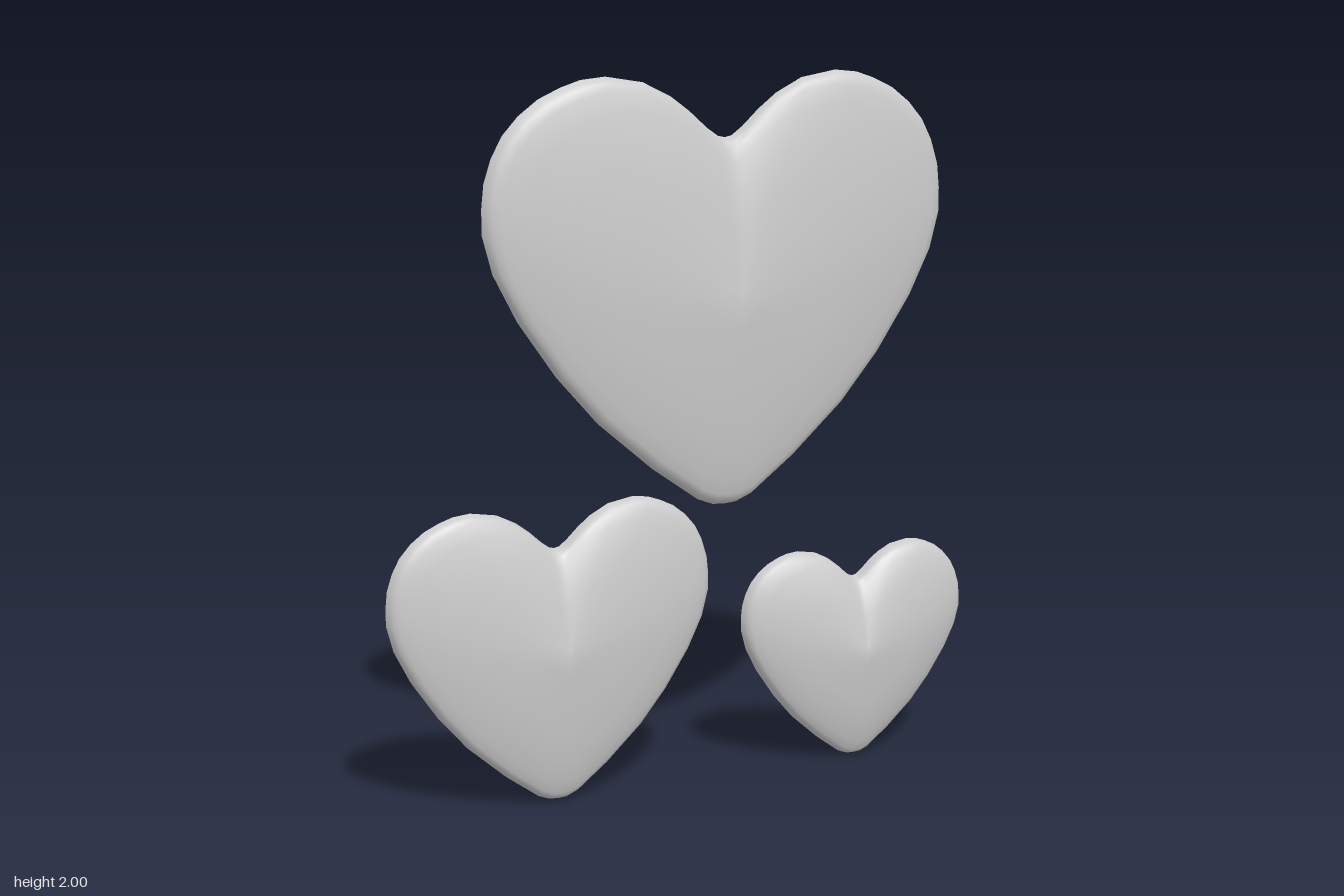
import * as THREE from 'three';

// Right half of the heart outline, notch to tip: u = share of half width, v = share of height
const HALF = [
  [0, 0.855], [0.03, 0.859], [0.076, 0.878], [0.15, 0.917], [0.23, 0.952], [0.345, 0.985],
  [0.5, 1], [0.6, 0.994], [0.68, 0.979], [0.77, 0.955], [0.85, 0.92], [0.915, 0.878],
  [0.96, 0.829], [0.99, 0.775], [1, 0.72], [1, 0.662], [0.96, 0.574], [0.865, 0.465],
  [0.71, 0.333], [0.54, 0.218], [0.31, 0.1], [0.115, 0.017], [0.05, 0.002], [0, 0],
];

// Domed section from rim to apex: [scale towards apex, z]
const SECTION = [
  [1, -0.05], [0.988, -0.034], [0.972, -0.022], [0.94, -0.014], [0.86, -0.002],
  [0.7, 0.014], [0.5, 0.028], [0.25, 0.04], [0.1, 0.047],
];

// Thin hollow heart shell made of shrinking outline rings
function heartGeometry({ x, y, left, right, height, apex }) {
  const outline = [
    ...HALF.map(([u, v]) => [u * right, v * height]),
    ...HALF.slice(1, -1).reverse().map(([u, v]) => [-u * left, v * height]),
  ];
  const n = outline.length;
  const positions = [];
  const index = [];
  for (const [s, z] of SECTION) {
    for (const [px, py] of outline) {
      positions.push(x + px * s, y + apex + (py - apex) * s, z);
    }
  }
  positions.push(x, y + apex, 0.05);
  const last = SECTION.length - 1;
  const tip = SECTION.length * n;
  for (let i = 0; i < n; i++) {
    const j = (i + 1) % n;
    for (let r = 0; r < last; r++) {
      const a = r * n + i, b = r * n + j, c = a + n, d = b + n;
      index.push(a, c, b, b, c, d);
    }
    index.push(last * n + i, tip, last * n + j);
  }
  const geometry = new THREE.BufferGeometry();
  geometry.setAttribute('position', new THREE.Float32BufferAttribute(positions, 3));
  geometry.setIndex(index);
  geometry.computeVertexNormals();
  return geometry;
}

export function createModel() {
  const group = new THREE.Group();
  group.name = 'hearts';

  const grey = new THREE.MeshStandardMaterial({ color: 0xcccccc, side: THREE.DoubleSide });
  grey.name = 'light grey';

  const hearts = {
    largeHeart: { x: 0.115, y: 0.795, left: 0.717, right: 0.685, height: 1.205, apex: 0.555 },
    mediumHeart: { x: -0.405, y: 0.003, left: 0.489, right: 0.468, height: 0.842, apex: 0.42 },
    smallHeart: { x: 0.533, y: 0, left: 0.363, right: 0.357, height: 0.63, apex: 0.32 },
  };
  for (const [name, spec] of Object.entries(hearts)) {
    const mesh = new THREE.Mesh(heartGeometry(spec), grey);
    mesh.name = name;
    group.add(mesh);
  }
  return group;
}
